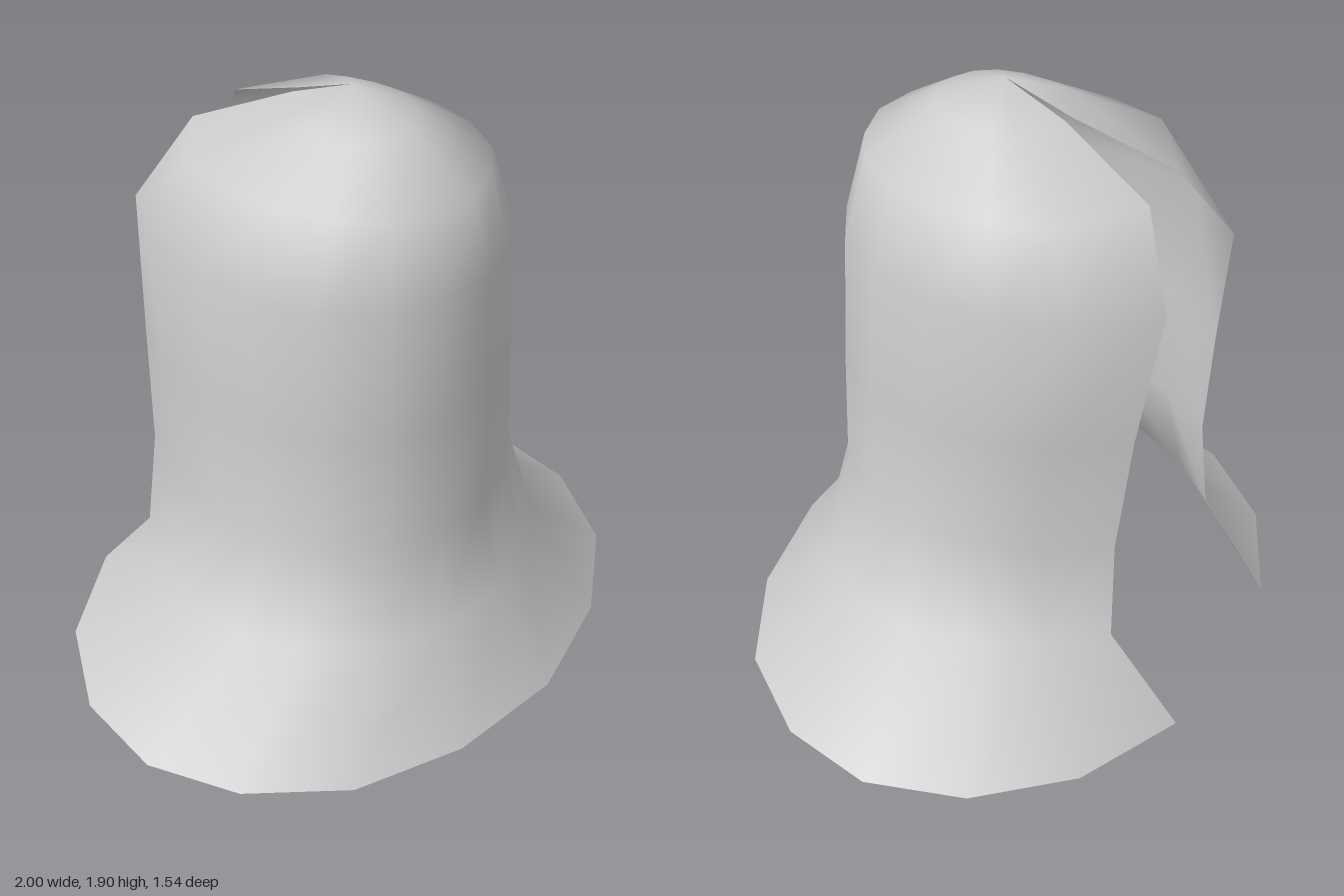
import * as THREE from 'three';

// Cross-section outlines from front centre (first) to the back slit (last):
// [x as a share of half width, z as a share of half depth]
const HEM = [[0, 1], [0.39, 0.91], [0.72, 0.69], [0.93, 0.34], [1, -0.05], [0.91, -0.45], [0.68, -0.79], [0.34, -1]];
const BODY = [[0, 1], [0.35, 0.93], [0.67, 0.77], [0.9, 0.48], [1, 0.12], [0.99, -0.24], [0.88, -0.64], [0.5, -1]];

// Rings from hem to crown: height, half width, front z, back z, slit x, blend from HEM to BODY
const RINGS = [
  [0, 1, 0.77, -0.77, 0.34, 0],
  [0.29, 0.63, 0.57, -0.545, 0.355, 0.5],
  [0.61, 0.51, 0.5, -0.53, 0.32, 1],
  [1.0, 0.495, 0.5, -0.565, 0.29, 1],
  [1.43, 0.48, 0.49, -0.62, 0.235, 1],
  [1.68, 0.385, 0.43, -0.495, 0.1, 1],
  [1.82, 0.17, 0.22, -0.19, 0.015, 1],
];
const SIDE = HEM.length - 1;
const COLUMNS = 2 * SIDE + 1;

function cloakGeometry() {
  const positions = [];
  const index = [];
  for (const [y, halfWidth, front, back, slit, blend] of RINGS) {
    for (let i = -SIDE; i <= SIDE; i++) {
      const j = Math.abs(i);
      const u = THREE.MathUtils.lerp(HEM[j][0], BODY[j][0], blend);
      const v = THREE.MathUtils.lerp(HEM[j][1], BODY[j][1], blend);
      const x = j === SIDE ? slit : u * halfWidth;
      positions.push(Math.sign(i) * x, y, (front + back) / 2 + v * (front - back) / 2);
    }
  }
  // Crown point shared by the top fan
  const apex = positions.length / 3;
  positions.push(0, 1.9, 0.01);

  for (let r = 0; r < RINGS.length; r++) {
    for (let c = 0; c < COLUMNS - 1; c++) {
      const a = r * COLUMNS + c;
      const b = a + 1;
      if (r === RINGS.length - 1) index.push(a, b, apex);
      else index.push(a, b, b + COLUMNS, a, b + COLUMNS, a + COLUMNS);
    }
  }
  const geometry = new THREE.BufferGeometry();
  geometry.setAttribute('position', new THREE.Float32BufferAttribute(positions, 3));
  geometry.setIndex(index);
  geometry.computeVertexNormals();
  return geometry;
}

export function createModel() {
  const cloth = new THREE.MeshStandardMaterial({ color: 0xcccccc, side: THREE.DoubleSide });
  cloth.name = 'light grey cloth';

  // Single open sheet, slit down the back
  const cloak = new THREE.Mesh(cloakGeometry(), cloth);
  cloak.name = 'hoodedCloak';

  const model = new THREE.Group();
  model.name = 'cloak';
  model.add(cloak);
  return model;
}
